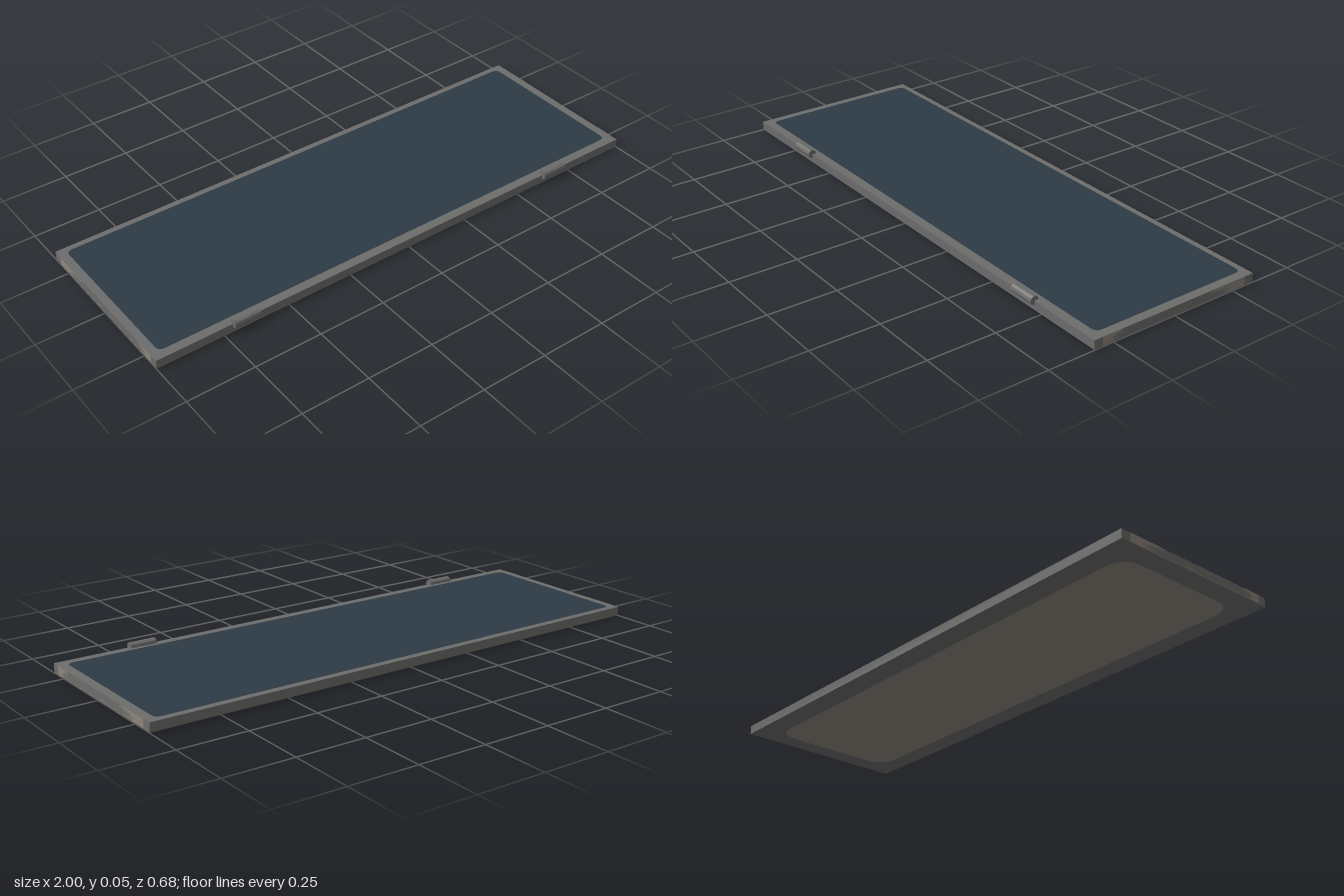
import * as THREE from 'three';

// Rounded rectangle given by its limits in the shape plane
function roundedRect(x0, x1, y0, y1, r) {
  const s = new THREE.Shape();
  s.moveTo(x0 + r, y0);
  s.lineTo(x1 - r, y0);
  s.quadraticCurveTo(x1, y0, x1, y0 + r);
  s.lineTo(x1, y1 - r);
  s.quadraticCurveTo(x1, y1, x1 - r, y1);
  s.lineTo(x0 + r, y1);
  s.quadraticCurveTo(x0, y1, x0, y1 - r);
  s.lineTo(x0, y0 + r);
  s.quadraticCurveTo(x0, y0, x0 + r, y0);
  return s;
}

// Ragged patch: straight at zEdge, pointed fingers reaching towards zTip
function wornPatch(zEdge, zTip) {
  const s = new THREE.Shape();
  const at = (t) => zEdge + (zTip - zEdge) * t;
  s.moveTo(at(0), 0.004);
  const fingers = [[0.004, 0.6], [0.008, 0.35], [0.011, 0.8], [0.014, 0.3], [0.018, 0.55],
    [0.02, 0.4], [0.023, 1], [0.025, 0.4], [0.029, 0.95], [0.034, 0.75]];
  for (const [y, t] of fingers) s.lineTo(at(t), y);
  s.lineTo(at(0), 0.034);
  return s;
}

export function createModel() {
  const model = new THREE.Group();
  const grey = new THREE.MeshStandardMaterial({ color: 0x6d6d6c });
  grey.name = 'frame grey';
  const blue = new THREE.MeshStandardMaterial({ color: 0x2d3b46 });
  blue.name = 'screen blue';
  const taupe = new THREE.MeshStandardMaterial({ color: 0x8f877e, side: THREE.DoubleSide });
  taupe.name = 'worn taupe';

  const add = (name, geometry, material, x = 0, y = 0, z = 0) => {
    const mesh = new THREE.Mesh(geometry, material);
    mesh.name = name;
    mesh.position.set(x, y, z);
    model.add(mesh);
    return mesh;
  };

  // Slab with a thin margin left for the painted faces
  add('slab', new THREE.BoxGeometry(1.998, 0.033, 0.665), grey, 0, 0.0175, -0.0075);

  // Top panel
  const top = new THREE.ShapeGeometry(roundedRect(-0.97, 0.967, -0.292, 0.317, 0.025));
  add('screen', top.rotateX(-Math.PI / 2), blue, 0, 0.035, 0);

  // Underside panel
  const under = new THREE.ShapeGeometry(roundedRect(-0.925, 0.925, -0.255, 0.25, 0.08));
  add('undersidePanel', under.rotateX(Math.PI / 2), taupe, 0, 0, 0);

  // Worn patches on both short ends
  const lens = new THREE.Shape();
  lens.moveTo(-0.055, 0.011);
  lens.quadraticCurveTo(-0.035, 0.015, -0.017, 0.011);
  lens.quadraticCurveTo(-0.035, 0.009, -0.055, 0.011);
  const wear = new THREE.ShapeGeometry([
    wornPatch(0.293, 0.205), wornPatch(-0.303, -0.135), lens,
    roundedRect(-0.303, 0.293, 0.0025, 0.004, 0.0005),
  ]).rotateY(-Math.PI / 2);
  for (const side of [-1, 1]) add('endWear', wear, taupe, side, 0, 0);

  // Hinge barrels on the front edge
  const barrel = new THREE.CylinderGeometry(0.0158, 0.0158, 0.1, 10).toNonIndexed();
  barrel.computeVertexNormals();
  barrel.rotateZ(Math.PI / 2);
  for (const side of [-1, 1]) add('hinge', barrel, grey, side * 0.667, 0.035, 0.325);

  return model;
}
